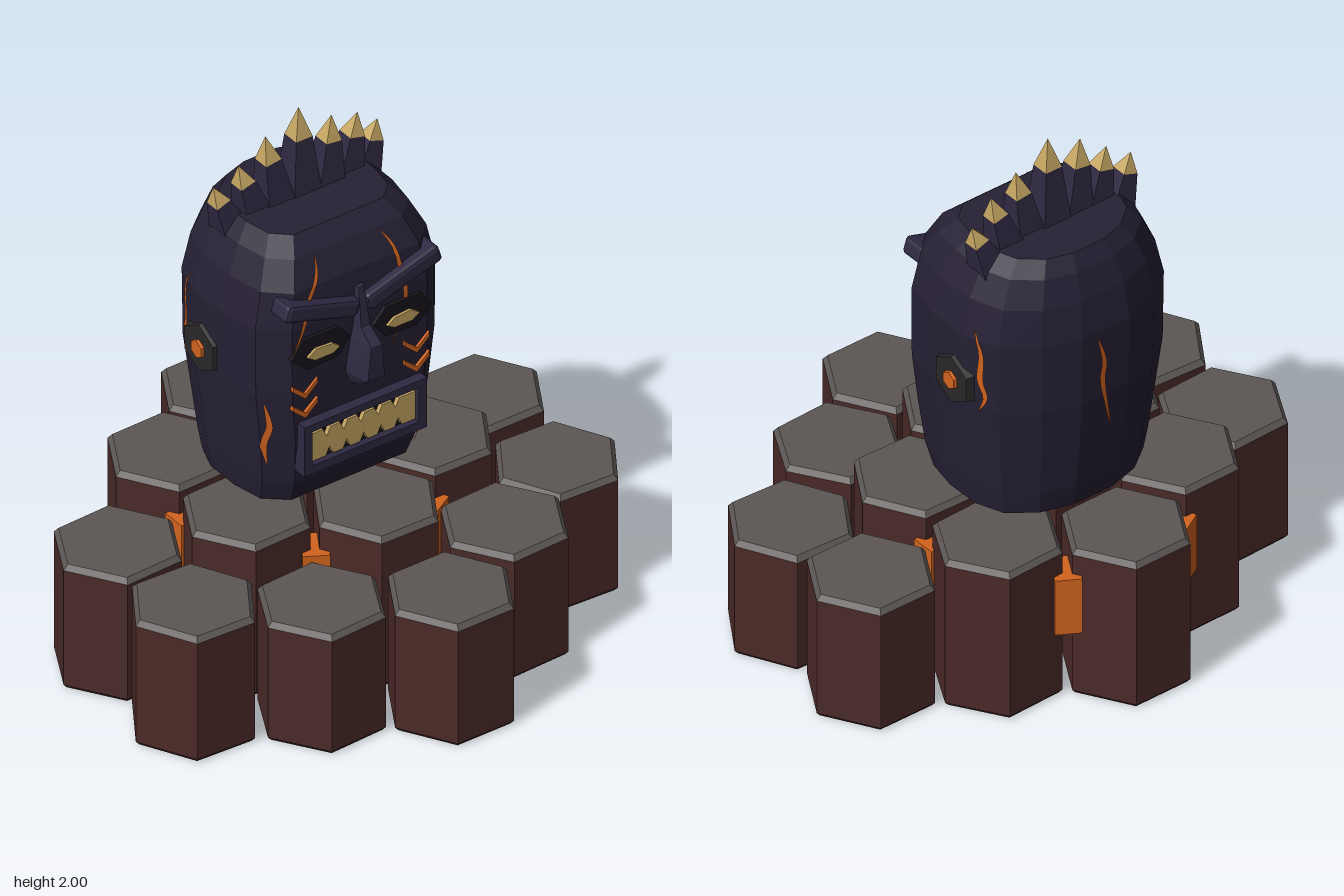
import * as THREE from 'three';
import { RoundedBoxGeometry } from 'three/addons/geometries/RoundedBoxGeometry.js';

const mat = (color, side = THREE.FrontSide) =>
  new THREE.MeshStandardMaterial({ color, flatShading: true, side });
const M = {
  rock: mat(0x4a2a28), cap: mat(0x5c5755), skin: mat(0x262034), trim: mat(0x2f2942),
  dark: mat(0x17141a), ear: mat(0x2a2629), gold: mat(0xc4a562),
  lava: mat(0xd2641f), crack: mat(0xd2641f, THREE.DoubleSide),
};

function add(parent, name, geo, material, x = 0, y = 0, z = 0) {
  const mesh = new THREE.Mesh(geo, material);
  mesh.name = name;
  mesh.position.set(x, y, z);
  parent.add(mesh);
  return mesh;
}

// Skin over closed rings of [x, y, z], listed bottom to top, with flat caps
function loft(rings) {
  const pos = [], n = rings[0].length;
  const tri = (a, b, c) => pos.push(...a, ...b, ...c);
  for (let i = 0; i < rings.length - 1; i++) {
    for (let j = 0; j < n; j++) {
      const k = (j + 1) % n, lo = rings[i], hi = rings[i + 1];
      tri(lo[j], lo[k], hi[k]);
      tri(lo[j], hi[k], hi[j]);
    }
  }
  const bottom = rings[0], top = rings[rings.length - 1];
  for (let j = 1; j < n - 1; j++) {
    tri(top[0], top[j], top[j + 1]);
    tri(bottom[0], bottom[j + 1], bottom[j]);
  }
  const geo = new THREE.BufferGeometry();
  geo.setAttribute('position', new THREE.Float32BufferAttribute(pos, 3));
  geo.computeVertexNormals();
  return geo;
}

const shapeOf = pts => new THREE.Shape(pts.map(p => new THREE.Vector2(...p)));
const plate = (shape, depth) => new THREE.ExtrudeGeometry(shape, { depth, bevelEnabled: false });
const rect = (x0, y0, x1, y1) => [[x0, y0], [x1, y0], [x1, y1], [x0, y1]];

// Hexagonal stone columns with chamfered caps, and lava in the gaps
function createBase() {
  const base = new THREE.Group();
  base.name = 'base';
  // x, z, height, turn
  const columns = [
    [0, 0.655, 0.5, 0], [0, 0.22, 0.62, -0.02], [0, -0.22, 0.615, 0], [0, -0.66, 0.61, 0.01],
    [-0.385, 0.435, 0.49, 0.05], [-0.385, 0, 0.62, 0.03], [-0.385, -0.44, 0.62, 0.02],
    [0.385, 0.435, 0.507, 0.04], [0.385, 0, 0.62, -0.02], [0.385, -0.44, 0.615, 0.04],
    [-0.765, 0.215, 0.515, -0.05], [-0.765, -0.225, 0.51, 0.04],
    [0.765, 0.215, 0.48, -0.05], [0.765, -0.225, 0.512, 0],
  ];
  for (const [x, z, h, turn] of columns) {
    const column = new THREE.Group();
    column.name = 'column';
    column.position.set(x, 0, z);
    column.rotation.y = Math.PI / 6 + turn + Math.PI / 3;
    const profile = [[0, 0], [0.222, 0], [0.235, 0.015], [0.235, h - 0.02]];
    add(column, 'columnBody', new THREE.LatheGeometry(profile.map(p => new THREE.Vector2(...p)), 6), M.rock);
    add(column, 'columnCap', new THREE.CylinderGeometry(0.217, 0.235, 0.02, 6), M.cap, 0, h - 0.01, 0);
    column.rotation.y = Math.PI / 6 + turn;
    base.add(column);
  }
  for (let i = 0; i < 6; i++) {
    const a = i * Math.PI / 3;
    const vein = add(base, 'lavaVein', new THREE.BoxGeometry(0.14, 0.23, 0.095), M.lava,
      Math.cos(a) * 0.465, 0.395, -0.22 - Math.sin(a) * 0.465);
    vein.rotation.y = a;
  }
  return base;
}

// Faceted skull from scaled copies of one outline
function headGeometry() {
  const half = [[0.7, 1], [0.93, 0.75], [1, 0.3], [1, -0.2], [0.88, -0.6], [0.6, -0.87], [0.25, -1]];
  const outline = [...half, ...half.map(([x, z]) => [-x, z]).reverse()];
  // y, half width, front z, back z
  const levels = [
    [0.63, 0.345, 0.06, -0.48], [0.72, 0.36, 0.095, -0.5], [0.9, 0.38, 0.118, -0.525],
    [1.1, 0.405, 0.125, -0.545], [1.38, 0.407, 0.125, -0.55], [1.52, 0.375, 0.11, -0.53],
    [1.62, 0.325, 0.06, -0.495], [1.675, 0.27, 0, -0.455],
  ];
  return loft(levels.map(([y, w, f, b]) =>
    outline.map(([x, z]) => [x * w, y, (f + b) / 2 + z * (f - b) / 2])));
}

// Tapered ribbon laid on the skull; path is [across, y] as seen along the given side
function crackGeometry(head, path, side, width = 0.011) {
  const curve = new THREE.SplineCurve(path.map(p => new THREE.Vector2(...p)));
  const ray = new THREE.Raycaster(), pos = [], index = [], steps = 14;
  for (let i = 0; i <= steps; i++) {
    const t = i / steps, p = curve.getPoint(t);
    for (const s of [-1, 1]) {
      const u = p.x + s * (0.001 + width * Math.sin(Math.PI * t));
      const origin = side.x ? new THREE.Vector3(side.x * 3, p.y, u) : new THREE.Vector3(u, p.y, side.z * 3);
      ray.set(origin, side.clone().negate());
      const hit = ray.intersectObject(head)[0];
      pos.push(...hit.point.addScaledVector(hit.face.normal, 0.007).toArray());
    }
    if (i < steps) index.push(2 * i, 2 * i + 1, 2 * i + 3, 2 * i, 2 * i + 3, 2 * i + 2);
  }
  const geo = new THREE.BufferGeometry();
  geo.setAttribute('position', new THREE.Float32BufferAttribute(pos, 3));
  geo.setIndex(index);
  geo.computeVertexNormals();
  return geo;
}

function createMouth() {
  const mouth = new THREE.Group();
  mouth.name = 'mouth';
  const frame = shapeOf(rect(-0.258, 0.785, 0.258, 0.99));
  frame.holes.push(new THREE.Path(rect(-0.225, 0.82, 0.225, 0.96).map(p => new THREE.Vector2(...p))));
  add(mouth, 'mouthFrame', plate(frame, 0.08), M.trim, 0, 0, 0.08);
  add(mouth, 'mouthInside', new THREE.BoxGeometry(0.46, 0.15, 0.05), M.dark, 0, 0.89, 0.108);
  // Clenched teeth: a bar notched above and below
  const pts = [[-0.217, 0.83]], pitch = 0.434 / 6;
  for (let i = 1; i < 6; i++) {
    const x = -0.217 + i * pitch;
    pts.push([x - 0.016, 0.83], [x, 0.865], [x + 0.016, 0.83]);
  }
  pts.push([0.217, 0.83], [0.217, 0.945]);
  for (let i = 5; i > 0; i--) {
    const x = -0.217 + i * pitch - 0.012;
    pts.push([x + 0.016, 0.945], [x, 0.91], [x - 0.016, 0.945]);
  }
  pts.push([-0.217, 0.945]);
  add(mouth, 'teeth', plate(shapeOf(pts), 0.02), M.gold, 0, 0, 0.13);
  return mouth;
}

function createHead() {
  const group = new THREE.Group();
  group.name = 'head';
  const head = add(group, 'skull', headGeometry(), M.skin);

  // Nose: y, half width, front z
  const nose = [[1.07, 0.045, 0.155], [1.125, 0.065, 0.222], [1.26, 0.042, 0.225], [1.31, 0.034, 0.16], [1.46, 0.02, 0.135]];
  add(group, 'nose', loft(nose.map(([y, w, z]) =>
    [[w * 0.55, y, z], [w, y, 0.1], [-w, y, 0.1], [-w * 0.55, y, z]])), M.trim);
  group.add(createMouth());

  for (const s of [-1, 1]) {
    const brow = add(group, 'brow', new RoundedBoxGeometry(0.32, 0.07, 0.1, 1, 0.016), M.trim, s * 0.172, 1.432, 0.105);
    brow.rotation.z = s * 0.3;
    // Shapes drawn for the left side; x is flipped for the right
    const flip = pts => shapeOf(pts.map(([x, y]) => [s * x, y]));
    add(group, 'eyeSocket', plate(flip([[0.05, 1.28], [0.1, 1.215], [0.23, 1.21], [0.295, 1.27], [0.25, 1.335], [0.1, 1.335]]), 0.04), M.dark, 0, 0, 0.1);
    add(group, 'eye', plate(flip([[0.1, 1.262], [0.13, 1.245], [0.205, 1.245], [0.235, 1.265], [0.2, 1.29], [0.13, 1.285]]), 0.03), M.gold, 0, 0, 0.12);
    for (const y of [1.1, 1.02]) {
      add(group, 'cheekMark', plate(flip([[0.235, y - 0.012], [0.287, y + 0.035], [0.287, y + 0.055],
        [0.235, y + 0.01], [0.183, y + 0.055], [0.183, y + 0.035]]), 0.02), M.lava, 0, 0, 0.115);
    }
    // Ear disc and glowing stud
    const ear = add(group, 'ear', new THREE.CylinderGeometry(0.095, 0.115, 0.06, 6), M.ear, s * 0.39, 1.17, -0.23);
    const stud = add(group, 'earStud', new THREE.CylinderGeometry(0.034, 0.045, 0.06, 6), M.lava, s * 0.402, 1.17, -0.23);
    for (const part of [ear, stud]) part.rotation.set(Math.PI / 2, 0, -s * Math.PI / 2, 'ZXY');
    ear.rotation.set(0, Math.PI / 2, -s * Math.PI / 2, 'ZYX');
    stud.rotation.copy(ear.rotation);
    add(group, 'sideCrack', crackGeometry(head, [[-0.32, 1.42], [-0.35, 1.33], [-0.345, 1.22], [-0.365, 1.15], [-0.34, 1.09]],
      new THREE.Vector3(s, 0, 0)), M.crack);
  }

  // Glowing cracks on the face and the back
  const front = new THREE.Vector3(0, 0, 1), back = new THREE.Vector3(0, 0, -1);
  const faceCracks = [
    [[-0.15, 1.61], [-0.165, 1.55], [-0.21, 1.48], [-0.24, 1.38], [-0.29, 1.27]],
    [[0.12, 1.61], [0.155, 1.55], [0.175, 1.45], [0.19, 1.35], [0.17, 1.25], [0.13, 1.17]],
    [[-0.355, 1.08], [-0.335, 0.98], [-0.345, 0.9], [-0.33, 0.81]],
    [[0.235, 0.8], [0.262, 0.73], [0.265, 0.69], [0.285, 0.64]],
  ];
  for (const path of faceCracks) add(group, 'faceCrack', crackGeometry(head, path, front, 0.009), M.crack);
  add(group, 'backCrack', crackGeometry(head, [[0.04, 1.36], [0.01, 1.25], [0.015, 1.15], [-0.03, 0.95]], back), M.crack);
  return group;
}

// Fan of gold-tipped spikes
function createCrest() {
  const crest = new THREE.Group();
  crest.name = 'crest';
  // base x, base y, tip x, tip y, z
  const spikes = [
    [0, 1.64, 0, 2, -0.23], [-0.1, 1.63, -0.14, 1.935, -0.23], [0.1, 1.63, 0.135, 1.915, -0.225],
    [-0.185, 1.62, -0.25, 1.855, -0.235], [0.19, 1.62, 0.255, 1.87, -0.24],
    [-0.27, 1.59, -0.345, 1.795, -0.25], [0.275, 1.59, 0.35, 1.795, -0.255],
  ];
  for (const [bx, by, tx, ty, z] of spikes) {
    const spike = new THREE.Group();
    spike.name = 'spike';
    const length = Math.hypot(tx - bx, ty - by), tip = length * 0.32, stem = length - tip;
    const half = 0.035 * Math.SQRT2 * (0.7 + length * 0.8);
    const body = add(spike, 'spikeBody', new THREE.CylinderGeometry(half, half * 1.75, stem, 4), M.trim, 0, stem / 2, 0);
    const point = add(spike, 'spikeTip', new THREE.ConeGeometry(half, tip, 4), M.gold, 0, stem + tip / 2, 0);
    body.rotation.y = point.rotation.y = Math.PI / 4;
    spike.position.set(bx, by, z);
    spike.rotation.z = -Math.atan2(tx - bx, ty - by);
    crest.add(spike);
  }
  return crest;
}

export function createModel() {
  const model = new THREE.Group();
  model.name = 'idolOnColumns';
  model.add(createBase(), createHead(), createCrest());
  return model;
}
